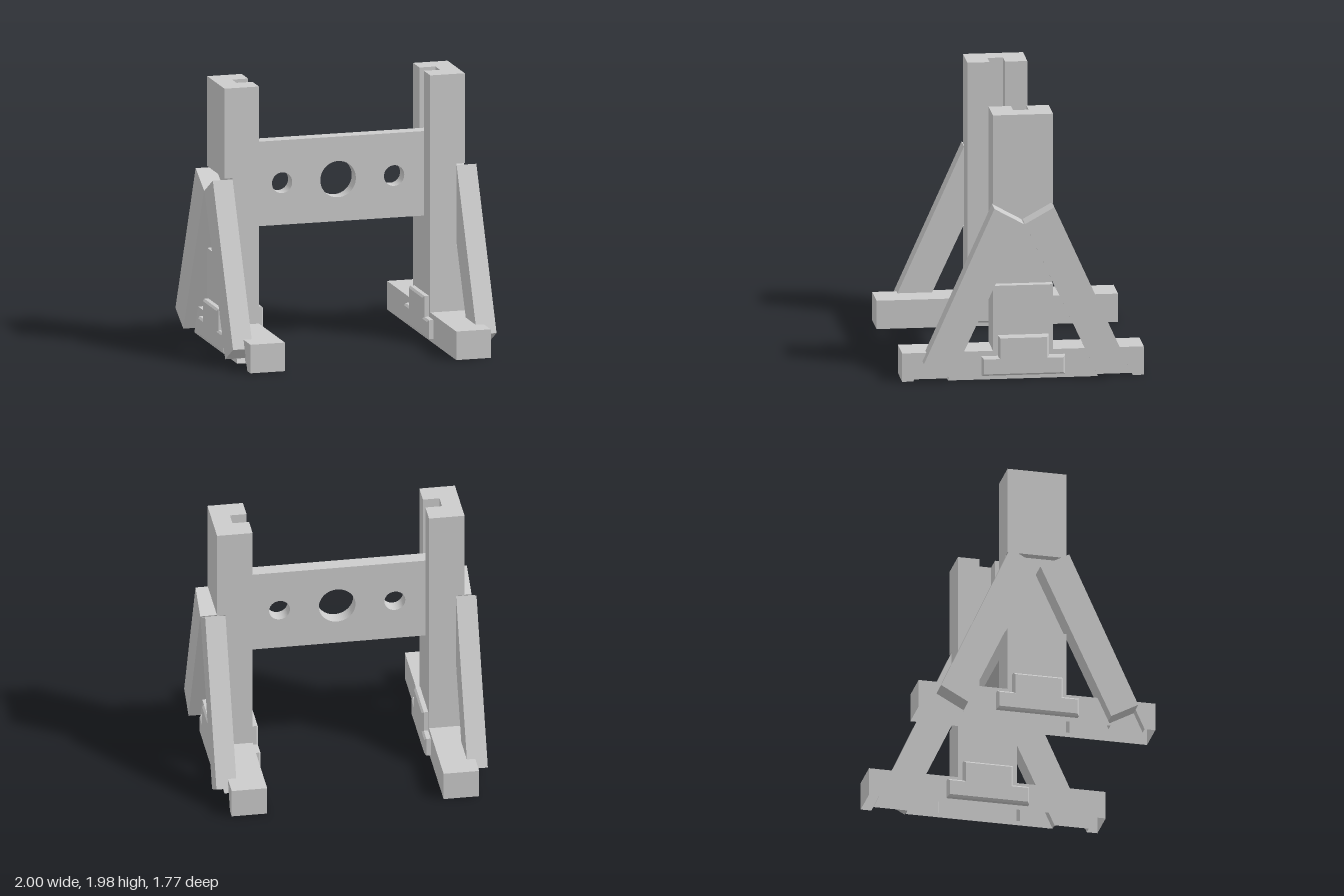
import * as THREE from 'three';

const material = new THREE.MeshStandardMaterial({ color: 0xcccccc, flatShading: true, side: THREE.DoubleSide });

function addMesh(parent, geometry, name) {
  const mesh = new THREE.Mesh(geometry, material);
  mesh.name = name;
  parent.add(mesh);
  return mesh;
}

// Profiles are [z, y] points, counter-clockwise from the +z side
const flip = (pts) => pts.map(([z, y]) => [-z, y]).reverse();
const symmetric = (half) => [...half, ...flip(half)];
const toVectors = (pts) => pts.map(([z, y]) => new THREE.Vector2(z, y));

// Flat sheet at a given x, facing inward (-x) or outward (+x)
function panel(parent, name, x, pts, outward = false, hole = null) {
  const shape = new THREE.Shape(toVectors(pts));
  if (hole) shape.holes.push(new THREE.Path(toVectors(hole)));
  const g = new THREE.ShapeGeometry(shape).rotateY(-Math.PI / 2).translate(x, 0, 0);
  if (outward) g.index.array.reverse();
  g.computeVertexNormals();
  addMesh(parent, g, name);
}

// Wall joining profile a at x0 to profile b at x1 (x0 < x1)
function wall(parent, name, a, x0, b, x1, closed = false) {
  const pos = [];
  const n = closed ? a.length : a.length - 1;
  for (let i = 0; i < n; i++) {
    const j = (i + 1) % a.length;
    const [ai, aj, bi, bj] = [[x0, a[i]], [x0, a[j]], [x1, b[i]], [x1, b[j]]];
    for (const [x, [z, y]] of [ai, bj, aj, ai, bi, bj]) pos.push(x, y, z);
  }
  const g = new THREE.BufferGeometry();
  g.setAttribute('position', new THREE.Float32BufferAttribute(pos, 3));
  g.computeVertexNormals();
  addMesh(parent, g, name);
}

// Inverted T outline of the foot plates, shrunk by an inset
const plateOutline = (d) => symmetric([
  [0.305 - d, 0.035 + d], [0.305 - d, 0.175 - d], [0.185 - d, 0.175 - d], [0.185 - d, 0.33 - d],
]);

function createSide() {
  const side = new THREE.Group();
  const X = { inner: 0.65, slot: 0.772, recess: 0.85, outer: 0.912 };
  const plate = plateOutline(0), plateFace = plateOutline(0.014);

  // Foot rail and post form one hollow shell, open underneath
  const half = [[0.885, 0], [0.885, 0.213], [0.22, 0.213], [0.22, 1.98]];
  const slotted = symmetric([...half, [0.057, 1.98], [0.057, 0.9]]);
  const full = symmetric(half);
  panel(side, 'innerFace', X.inner, slotted, false, plate);
  wall(side, 'slottedShell', slotted, X.inner, slotted, X.slot);
  panel(side, 'slotBack', X.slot, symmetric([[0.057, 0.9], [0.057, 1.98]]));
  wall(side, 'middleShell', full, X.slot, full, X.recess);

  // Outer layer: post head, lower block and rail ends, with housings for the braces
  const head = symmetric([[0.22, 1.31], [0.22, 1.98]]);
  panel(side, 'postHeadFace', X.outer, head, true);
  wall(side, 'postHeadEdge', head, X.recess, head, X.outer, true);
  panel(side, 'postRecess', X.recess, symmetric([[0.22, 0.7], [0.22, 1.31]]), true);

  const block = symmetric([[0.55, 0], [0.453, 0.213], [0.22, 0.213], [0.22, 0.7]]);
  panel(side, 'lowerBlockFace', X.outer, block, true, plate);
  wall(side, 'lowerBlockEdge', block, X.recess, block, X.outer);

  const railEnd = [[0.885, 0], [0.885, 0.213], [0.708, 0.213], [0.805, 0]];
  const housing = [[0.55, 0], [0.805, 0], [0.708, 0.213], [0.453, 0.213]];
  for (const shape of [(p) => p, flip]) {
    const end = shape(railEnd);
    panel(side, 'railEndFace', X.outer, end, true);
    wall(side, 'railEndEdge', end, X.recess, end, X.outer);
    panel(side, 'braceHousing', X.recess, shape(housing), true);

    // Leaning brace with square-cut ends
    const brace = shape([[0.535, 0.036], [0.737, 0.148], [0.22, 1.3], [0.005, 1.18]]);
    panel(side, 'braceInnerFace', X.recess, brace);
    panel(side, 'braceOuterFace', 1, brace, true);
    wall(side, 'braceEdge', brace, X.recess, brace, 1, true);
  }

  // Bevelled T plates on both faces of the foot
  panel(side, 'innerPlate', 0.603, plateFace);
  wall(side, 'innerPlateBevel', plateFace, 0.603, plate, 0.617, true);
  wall(side, 'innerPlateEdge', plate, 0.617, plate, X.inner, true);
  wall(side, 'outerPlateEdge', plate, X.outer, plate, 0.945, true);
  wall(side, 'outerPlateBevel', plate, 0.945, plateFace, 0.959, true);
  panel(side, 'outerPlate', 0.959, plateFace, true);
  return side;
}

// Cross board with three round holes, its ends seated in the post slots
function createBoard(parent) {
  const shape = new THREE.Shape(toVectors([[-0.772, 0.9], [0.772, 0.9], [0.772, 1.53], [-0.772, 1.53]]));
  for (const [x, r] of [[-0.425, 0.077], [0, 0.135], [0.425, 0.077]]) {
    shape.holes.push(new THREE.Path().absarc(x, 1.213, r, 0, Math.PI * 2, true));
  }
  const g = new THREE.ExtrudeGeometry(shape, { depth: 0.108, bevelEnabled: false, curveSegments: 32 });
  addMesh(parent, g.translate(0, 0, -0.054), 'crossBoard');
}

export function createModel() {
  const model = new THREE.Group();
  model.name = 'trestleStand';
  const left = createSide();
  left.name = 'leftTrestle';
  const right = createSide();
  right.name = 'rightTrestle';
  right.scale.x = -1;
  model.add(left, right);
  createBoard(model);
  return model;
}
